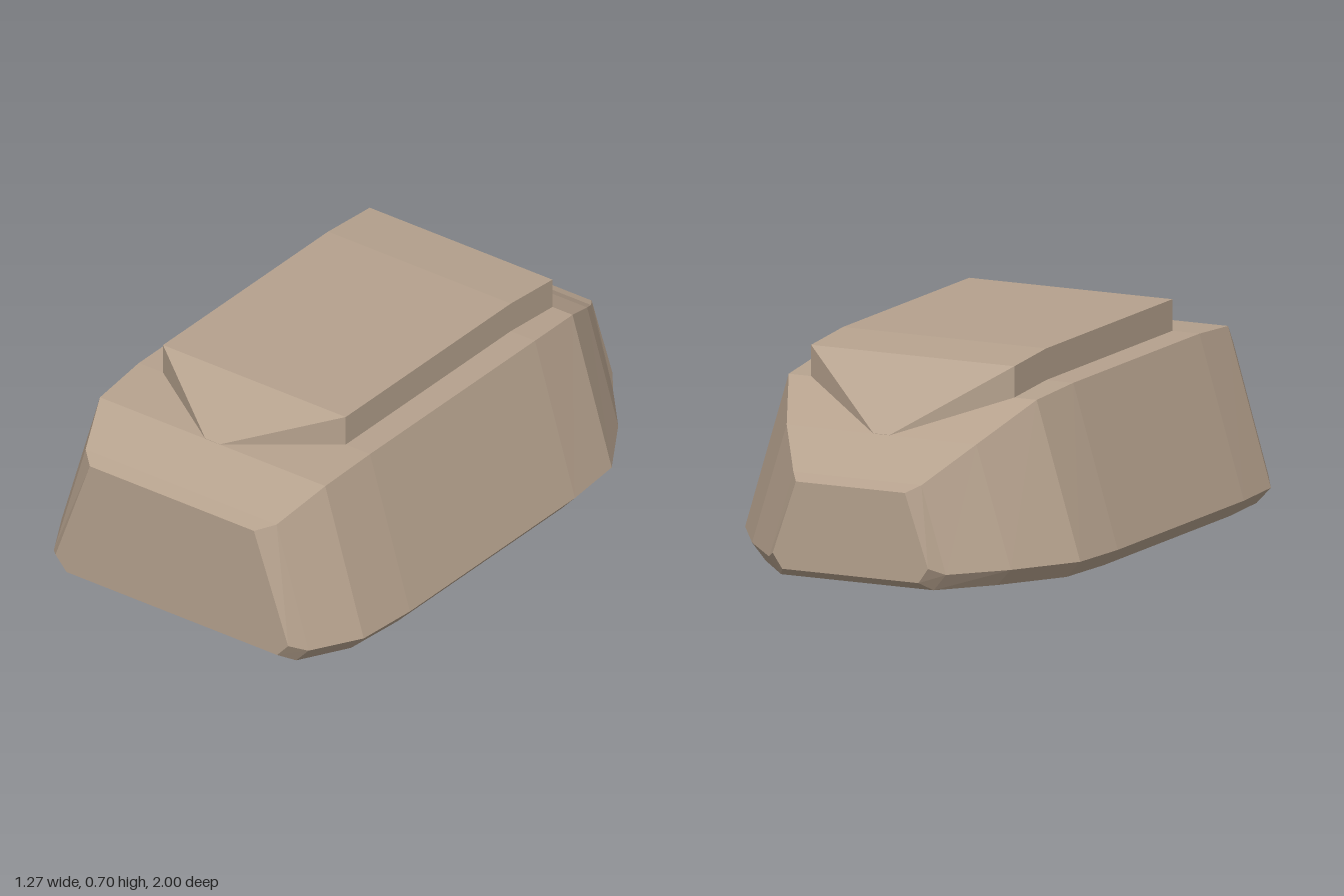
import * as THREE from 'three';

// Skin mirrored cross-sections, listed front to back.
// Each section: z, then [halfWidth, y] points from bottom to top.
function loft(sections) {
  const rings = sections.map(([z, ...half]) => [
    ...half.map(([x, y]) => [x, y, z]),
    ...half.slice().reverse().map(([x, y]) => [-x, y, z]),
  ]);
  const n = rings[0].length;
  const last = rings.length - 1;
  const index = [];
  for (let i = 0; i < last; i++) {
    for (let j = 0; j < n; j++) {
      const a = i * n + j, b = i * n + (j + 1) % n;
      index.push(a, a + n, b + n, a, b + n, b);
    }
  }
  // End caps
  for (let k = 1; k < n - 1; k++) {
    index.push(0, k, k + 1);
    index.push(last * n, last * n + k + 1, last * n + k);
  }
  const geometry = new THREE.BufferGeometry();
  geometry.setAttribute('position', new THREE.Float32BufferAttribute(rings.flat(2), 3));
  geometry.setIndex(index);
  const flat = geometry.toNonIndexed();
  flat.computeVertexNormals();
  return flat;
}

export function createModel() {
  const model = new THREE.Group();
  const material = new THREE.MeshStandardMaterial({ color: 0xb5a18d, flatShading: true });

  const add = (name, sections) => {
    const mesh = new THREE.Mesh(loft(sections), material);
    mesh.name = name;
    model.add(mesh);
  };

  // Hull: underside edge, sill edge, top edge
  add('body', [
    [1.0, [0.43, 0.03], [0.475, 0.08], [0.335, 0.468]],
    [0.95, [0.47, 0], [0.52, 0.055], [0.39, 0.488]],
    [0.78, [0.565, 0], [0.617, 0.055], [0.46, 0.578]],
    [0.555, [0.585, 0], [0.635, 0.055], [0.472, 0.595]],
    [-0.335, [0.585, 0], [0.635, 0.055], [0.472, 0.595]],
    [-0.56, [0.565, 0], [0.615, 0.055], [0.455, 0.578]],
    [-0.78, [0.425, 0], [0.475, 0.055], [0.348, 0.46]],
    [-0.95, [0.28, 0], [0.325, 0.055], [0.235, 0.345]],
    [-1.0, [0.25, 0.03], [0.285, 0.08], [0.2, 0.325]],
  ]);

  // Raised roof with wedge-shaped ends, sunk slightly into the hull
  add('roof', [
    [0.78, [0.03, 0.55], [0.03, 0.579]],
    [0.555, [0.373, 0.57], [0.373, 0.7]],
    [-0.335, [0.373, 0.57], [0.373, 0.7]],
    [-0.56, [0.373, 0.55], [0.373, 0.682]],
    [-0.78, [0.03, 0.43], [0.03, 0.461]],
  ]);

  return model;
}
